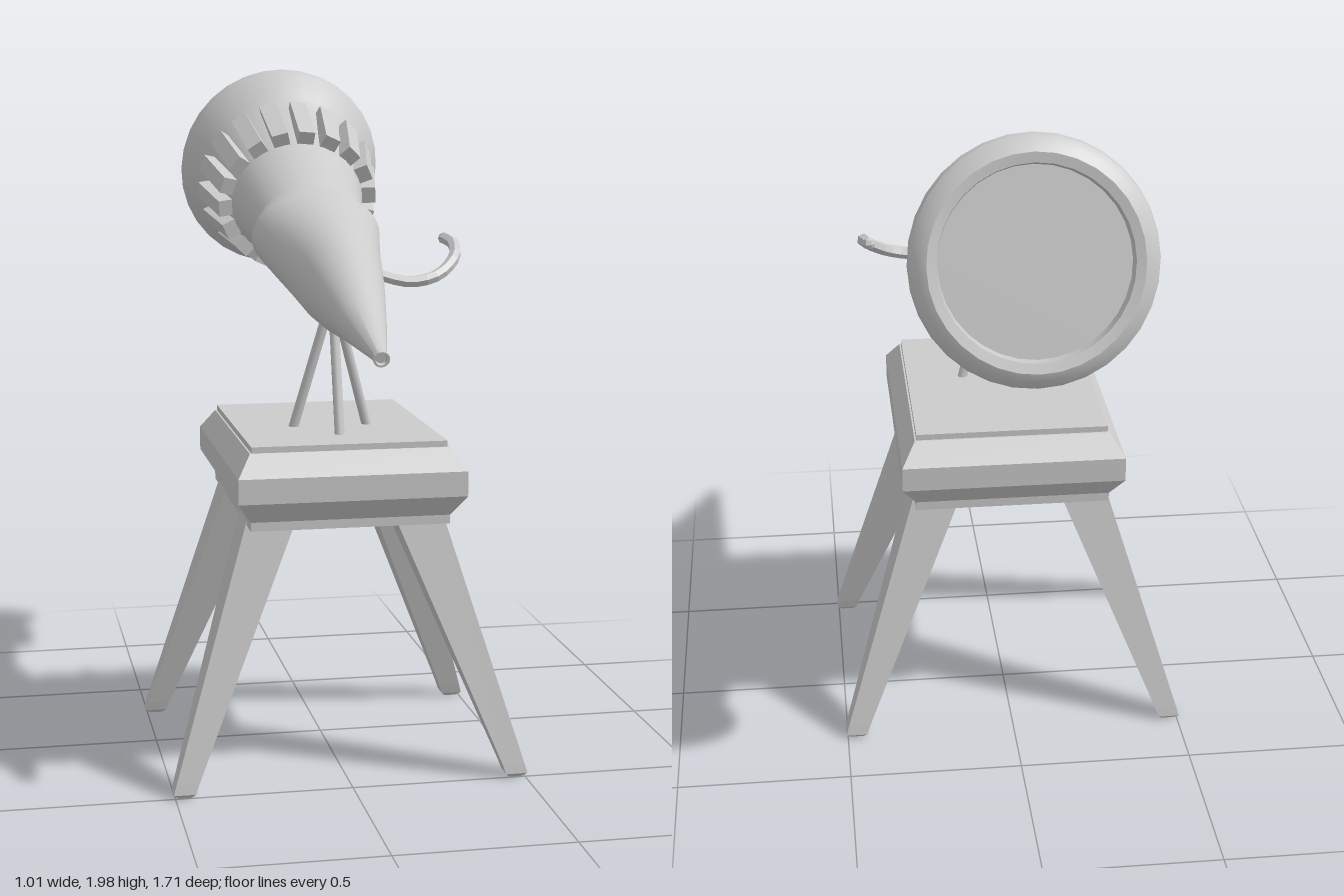
import * as THREE from 'three';
import { toCreasedNormals } from 'three/addons/utils/BufferGeometryUtils.js';

const smooth = new THREE.MeshStandardMaterial({ color: 0xcccccc });
const flat = new THREE.MeshStandardMaterial({ color: 0xcccccc, flatShading: true });

// Skin a stack of equal-length rings (counter-clockwise from above) and cap both ends
function loft(rings) {
  const n = rings[0].length, pos = [], idx = [];
  rings.forEach(r => r.forEach(p => pos.push(...p)));
  for (let k = 0; k < rings.length - 1; k++) {
    for (let i = 0; i < n; i++) {
      const j = (i + 1) % n, a = k * n + i, b = k * n + j;
      idx.push(a, b, b + n, a, b + n, a + n);
    }
  }
  const top = (rings.length - 1) * n;
  for (let i = 1; i < n - 1; i++) {
    idx.push(0, i + 1, i);
    idx.push(top, top + i, top + i + 1);
  }
  const g = new THREE.BufferGeometry();
  g.setAttribute('position', new THREE.Float32BufferAttribute(pos, 3));
  g.setIndex(idx);
  return g;
}

const rectRing = (x0, x1, z0, z1, y) => [[x0, y, z1], [x1, y, z1], [x1, y, z0], [x0, y, z0]];

function ellipseRing(t, rx, rz, n = 32) {
  return Array.from({ length: n }, (_, i) => {
    const a = (i / n) * Math.PI * 2;
    return [rx * Math.cos(a), t, -rz * Math.sin(a)];
  });
}

function addMesh(parent, name, geometry, material) {
  const m = new THREE.Mesh(geometry, material);
  m.name = name;
  parent.add(m);
  return m;
}

// Straight round rod between two points
function rod(parent, name, from, to, r) {
  const a = new THREE.Vector3(...from), b = new THREE.Vector3(...to);
  const d = b.clone().sub(a);
  const m = addMesh(parent, name, new THREE.CylinderGeometry(r, r, d.length(), 10), smooth);
  m.position.copy(a).add(b).multiplyScalar(0.5);
  m.quaternion.setFromUnitVectors(new THREE.Vector3(0, 1, 0), d.normalize());
}

export function createModel() {
  const model = new THREE.Group();
  model.name = 'telescopeOnStand';
  const midZ = 0.1;

  // Stand top: bevelled slab, [y, half width, half depth]
  const slab = [
    [0.74, 0.28, 0.365], [0.765, 0.28, 0.365], [0.825, 0.32, 0.41],
    [0.895, 0.32, 0.41], [0.955, 0.28, 0.355], [0.955, 0.275, 0.35], [0.972, 0.275, 0.35],
  ].map(([y, x, z]) => rectRing(-x, x, midZ - z, midZ + z, y));
  addMesh(model, 'standTop', loft(slab), flat);

  // Four splayed, tapering legs: [y, inner x, outer x, inner z, outer z] from the slab's middle
  const legRows = [
    [0, 0.455, 0.49, 0.365, 0.395], [0.012, 0.443, 0.505, 0.352, 0.407],
    [0.04, 0.433, 0.497, 0.343, 0.403], [0.75, 0.14, 0.28, 0.14, 0.285],
  ];
  for (const sx of [-1, 1]) {
    for (const sz of [-1, 1]) {
      const rings = legRows.map(([y, xi, xo, zi, zo]) => rectRing(
        Math.min(sx * xi, sx * xo), Math.max(sx * xi, sx * xo),
        midZ + Math.min(sz * zi, sz * zo), midZ + Math.max(sz * zi, sz * zo), y));
      addMesh(model, (sz > 0 ? 'front' : 'back') + (sx > 0 ? 'LeftLeg' : 'RightLeg'), loft(rings), flat);
    }
  }

  // Tripod of thin rods carrying the tube
  const tripod = new THREE.Group();
  tripod.name = 'tripod';
  model.add(tripod);
  for (const foot of [[0, 0.96, 0.3], [-0.11, 0.96, 0.15], [0.11, 0.96, 0.15]]) {
    rod(tripod, 'tripodRod', foot, [foot[0] * 0.05, 1.34, 0.195], 0.014);
  }

  // Telescope: local +y runs from the eyepiece to the wide end, local z is its upper side
  const scope = new THREE.Group();
  scope.name = 'telescope';
  scope.position.set(0, 1.264, 0.848);
  scope.rotation.x = -THREE.MathUtils.degToRad(75.7);
  model.add(scope);

  // Tube stations: [distance, half width, half height], ending in the recessed lens
  const stations = [
    [0.012, 0.014, 0.014], [0, 0.016, 0.016], [0, 0.022, 0.021], [0.03, 0.02, 0.02],
    [0.26, 0.068, 0.066], [0.42, 0.098, 0.106], [0.55, 0.12, 0.13], [0.68, 0.14, 0.135],
    [0.8, 0.163, 0.135], [0.9, 0.182, 0.133], [0.95, 0.192, 0.132], [1.04, 0.162, 0.132],
    [1.2, 0.19, 0.167], [1.34, 0.218, 0.2], [1.48, 0.25, 0.238], [1.53, 0.272, 0.265],
    [1.6, 0.313, 0.315], [1.625, 0.32, 0.323], [1.65, 0.315, 0.318], [1.675, 0.295, 0.297],
    [1.685, 0.275, 0.277], [1.68, 0.25, 0.25], [1.65, 0.245, 0.245],
  ];
  addMesh(scope, 'tube', toCreasedNormals(loft(stations.map(s => ellipseRing(...s))), 0.45), smooth);

  // Ring of grip blocks in front of the flared end
  const block = new THREE.BoxGeometry(0.045, 0.21, 0.05);
  const count = 18;
  for (let i = 0; i < count; i++) {
    const a = Math.PI / 2 - 0.085 + (i / count) * Math.PI * 2;
    const m = addMesh(scope, 'gripBlock', block, flat);
    m.position.set(0.242 * Math.cos(a), 1.375, 0.22 * Math.sin(a));
    m.rotation.set(0, -a, -0.18, 'YXZ');
  }

  // Curved side handle
  const path = new THREE.CatmullRomCurve3([
    [0.08, 1.42, 0.1], [0.15, 1.4, 0.115], [0.24, 1.38, 0.13], [0.32, 1.395, 0.12],
    [0.385, 1.44, 0.065], [0.4, 1.475, 0], [0.387, 1.487, -0.065],
  ].map(p => new THREE.Vector3(...p)));
  const handle = new THREE.Group();
  handle.name = 'sideHandle';
  model.add(handle);
  addMesh(handle, 'handleBar', new THREE.TubeGeometry(path, 16, 0.018, 6), flat);
  const cap = addMesh(handle, 'handleEnd', new THREE.SphereGeometry(0.018, 6, 4), flat);
  cap.position.copy(path.getPoint(1));

  return model;
}
